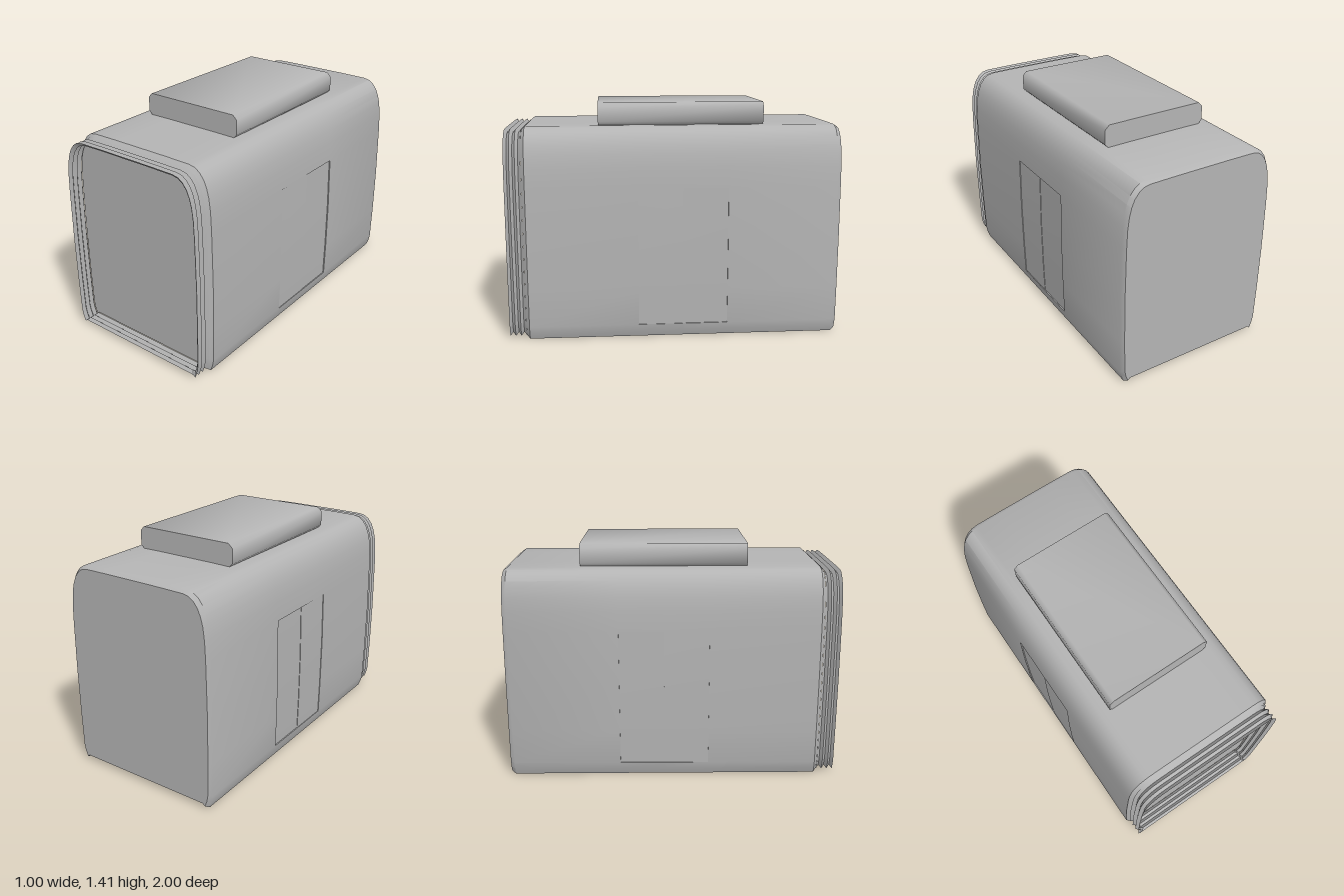
import * as THREE from 'three';
import { toCreasedNormals } from 'three/addons/utils/BufferGeometryUtils.js';

// Half cross-section, bottom to top: x, y, and 1 where the point lies in the doorway
const HALF = [
  [0.455, 0.014, 0], [0.47, 0, 0], [0.485, 0.04, 0],
  [0.493, 0.08, 0], [0.493, 0.08, 1], [0.498, 0.3, 1], [0.5, 0.6, 1], [0.495, 0.92, 1], [0.495, 0.92, 0],
  [0.49, 1.04, 0], [0.48, 1.12, 0], [0.467, 1.17, 0], [0.448, 1.215, 0], [0.42, 1.25, 0],
  [0.39, 1.27, 0], [0.35, 1.278, 0], [0.18, 1.28, 0],
];
const LOOP = [...HALF, ...HALF.map(([x, y, d]) => [-x, y, d]).reverse()];
const MID = 0.64;

// One ring of the section at z, shrunk by inset, with the doorway pushed in by door
function ring({ z, inset = 0, door = 0 }) {
  return LOOP.map(([x, y, d]) => new THREE.Vector3(
    x * (1 - inset / 0.5) - Math.sign(x) * d * door,
    MID + (y - MID) * (1 - inset / MID),
    z,
  ));
}

// Skin through stations running from front to back, with optional flat ends
function loft(stations, capped, crease) {
  const pos = [];
  const tri = (a, b, c) => {
    const area = b.clone().sub(a).cross(c.clone().sub(a)).length();
    if (area > 1e-8) for (const p of [a, b, c]) pos.push(p.x, p.y, p.z);
  };
  const rings = stations.map(ring);
  const n = LOOP.length;
  for (let s = 0; s < rings.length - 1; s++) {
    const a = rings[s], b = rings[s + 1];
    for (let i = 0; i < n; i++) {
      const j = (i + 1) % n;
      tri(a[i], b[i], b[j]);
      tri(a[i], b[j], a[j]);
    }
  }
  if (capped) {
    const first = rings[0], last = rings[rings.length - 1];
    const front = new THREE.Vector3(0, MID, first[0].z);
    const back = new THREE.Vector3(0, MID, last[0].z);
    for (let i = 0; i < n; i++) {
      const j = (i + 1) % n;
      tri(front, first[i], first[j]);
      tri(back, last[j], last[i]);
    }
  }
  const geo = new THREE.BufferGeometry();
  geo.setAttribute('position', new THREE.Float32BufferAttribute(pos, 3));
  return toCreasedNormals(geo, crease);
}

export function createModel() {
  const group = new THREE.Group();
  const grey = new THREE.MeshStandardMaterial({ color: 0xb4b4b4, side: THREE.DoubleSide });
  grey.name = 'plain grey';
  const add = (name, geo) => {
    const mesh = new THREE.Mesh(geo, grey);
    mesh.name = name;
    group.add(mesh);
  };

  // Carriage shell with shallow two-leaf doors on both sides
  add('carriageBody', loft([
    { z: 0.9, inset: 0.02 },
    { z: 0.88 },
    { z: 0.22 },
    { z: 0.22, door: 0.004 },
    { z: -0.05, door: 0.004 },
    { z: -0.05, door: 0.007 },
    { z: -0.32, door: 0.007 },
    { z: -0.32 },
    { z: -0.975 },
    { z: -1, inset: 0.015 },
  ], true, 0.62));

  // Open pleated gangway at the front
  const pleats = [];
  for (let i = 0; i <= 6; i++) pleats.push({ z: 1 - i * 0.1 / 6, inset: i % 2 ? 0.034 : 0.016 });
  add('gangwayBellows', loft(pleats, false, 0.62));

  // Roof unit with chamfered long edges
  const w = 0.332, lo = 1.272, hi = 1.413, c = 0.026;
  const outline = new THREE.Shape([
    [-w + c, lo], [w - c, lo], [w, lo + c], [w, hi - c],
    [w - c, hi], [-w + c, hi], [-w, hi - c], [-w, lo + c],
  ].map(([x, y]) => new THREE.Vector2(x, y)));
  const unit = new THREE.ExtrudeGeometry(outline, { depth: 1, bevelEnabled: false });
  unit.translate(0, 0, -0.55);
  add('roofUnit', toCreasedNormals(unit, 0.9));

  return group;
}
